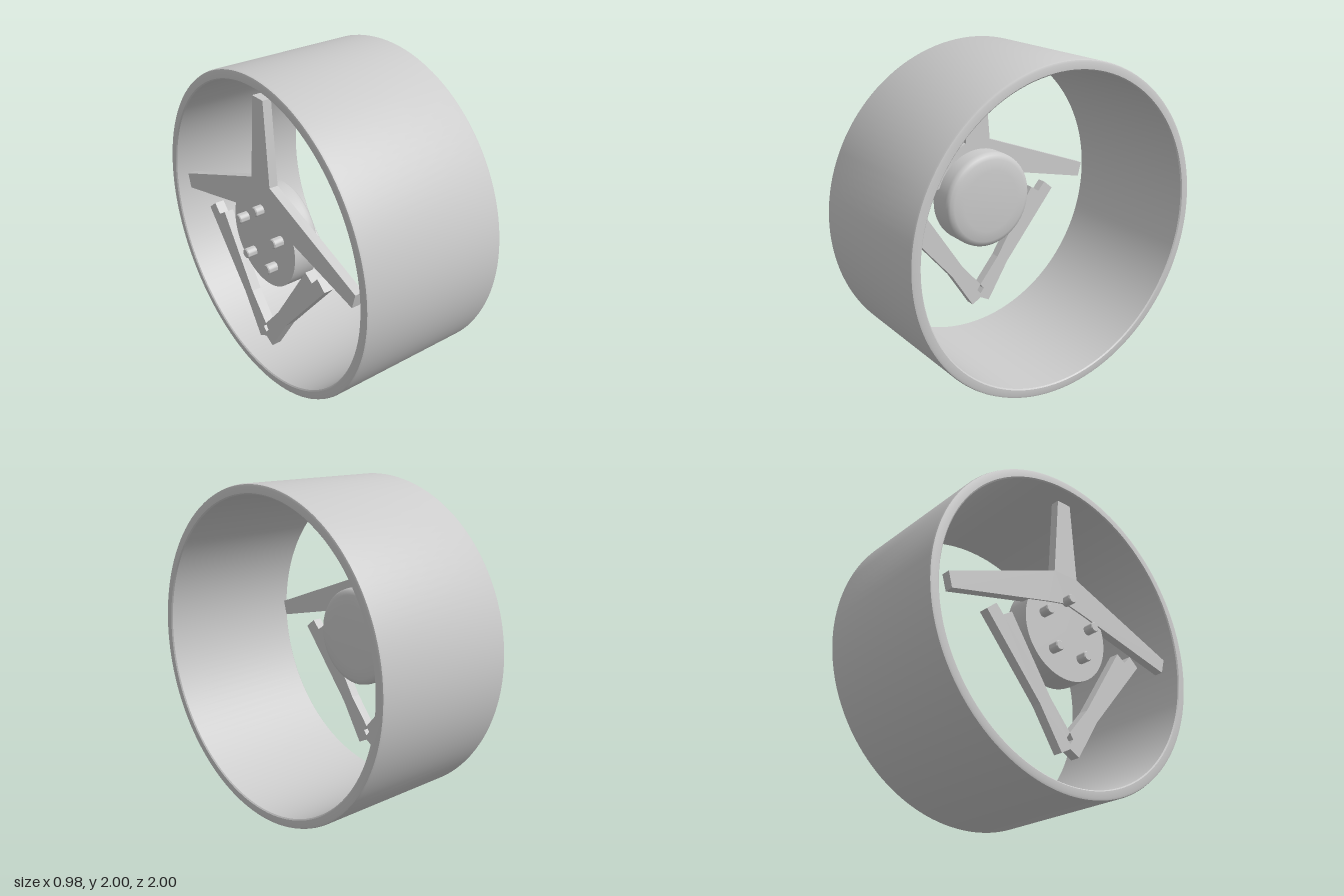
import * as THREE from 'three';
import { toCreasedNormals } from 'three/addons/utils/BufferGeometryUtils.js';

const grey = new THREE.MeshStandardMaterial({ color: 0xcccccc });

function add(parent, name, geometry) {
  const mesh = new THREE.Mesh(geometry, grey);
  mesh.name = name;
  parent.add(mesh);
  return mesh;
}

// Revolves [radius, x] points about the x axis.
function turned(points, segments) {
  const profile = points.map(([r, x]) => new THREE.Vector2(r, -x));
  const geometry = new THREE.LatheGeometry(profile, segments);
  geometry.rotateZ(Math.PI / 2);
  return toCreasedNormals(geometry, 0.6);
}

// Flat plate from [z, y] points, between two x positions.
function plate(points, xBack, xFace) {
  const shape = new THREE.Shape(points.map(([z, y]) => new THREE.Vector2(z, y)));
  const geometry = new THREE.ExtrudeGeometry(shape, { depth: xBack - xFace, bevelEnabled: false });
  geometry.rotateY(-Math.PI / 2);
  geometry.translate(xBack, 0, 0);
  return geometry;
}

const mirrored = (points) => points.map(([z, y]) => [-z, y]).reverse();

export function createModel() {
  const wheel = new THREE.Group();
  wheel.name = 'wheel';

  // Wide rim with softened edges
  add(wheel, 'rim', turned([
    [0.94, 0.478], [0.947, 0.485], [0.985, 0.485], [0.996, 0.481], [1, 0.47],
    [1, -0.46], [0.996, -0.471], [0.985, -0.475], [0.947, -0.475], [0.94, -0.468],
    [0.94, 0.478],
  ], 128)).position.y = 1;

  // Hub, rounded on its inner side
  add(wheel, 'hub', turned([
    [0, -0.235], [0.2, -0.238], [0.27, -0.245], [0.295, -0.255], [0.307, -0.27], [0.31, -0.29],
    [0.31, -0.425], [0, -0.425],
  ], 64)).position.y = 1;

  // Three upper spokes joined in one plate
  const half = [[0.05, 1.87], [0.09, 1.36], [0.855, 1.065], [0.83, 0.972], [0.14, 1.14]];
  add(wheel, 'upperSpokes', plate([...half, [0, 1.17], ...mirrored(half)], -0.38, -0.435));

  // Pair of lower spokes that meet at the bottom, each with a notched upper end
  const lower = [
    [0.595, 0.935], [0.53, 0.99], [0.48, 0.935], [0.42, 0.975], [0.14, 0.54], [0, 0.375],
    [0.025, 0.34], [0, 0.31], [0, 0.28], [0.065, 0.245], [0.22, 0.49],
  ];
  add(wheel, 'lowerSpokeLeft', plate(lower, -0.375, -0.435));
  add(wheel, 'lowerSpokeRight', plate(mirrored(lower), -0.375, -0.435));

  // Five bolts round the hub
  const boltShape = turned([
    [0, -0.41], [0.03, -0.41], [0.03, -0.484], [0.025, -0.49], [0, -0.49],
  ], 24);
  for (let i = 0; i < 5; i++) {
    const a = (i / 5) * Math.PI * 2;
    add(wheel, 'bolt' + (i + 1), boltShape).position.set(0, 1 + 0.185 * Math.cos(a), 0.185 * Math.sin(a));
  }

  return wheel;
}
